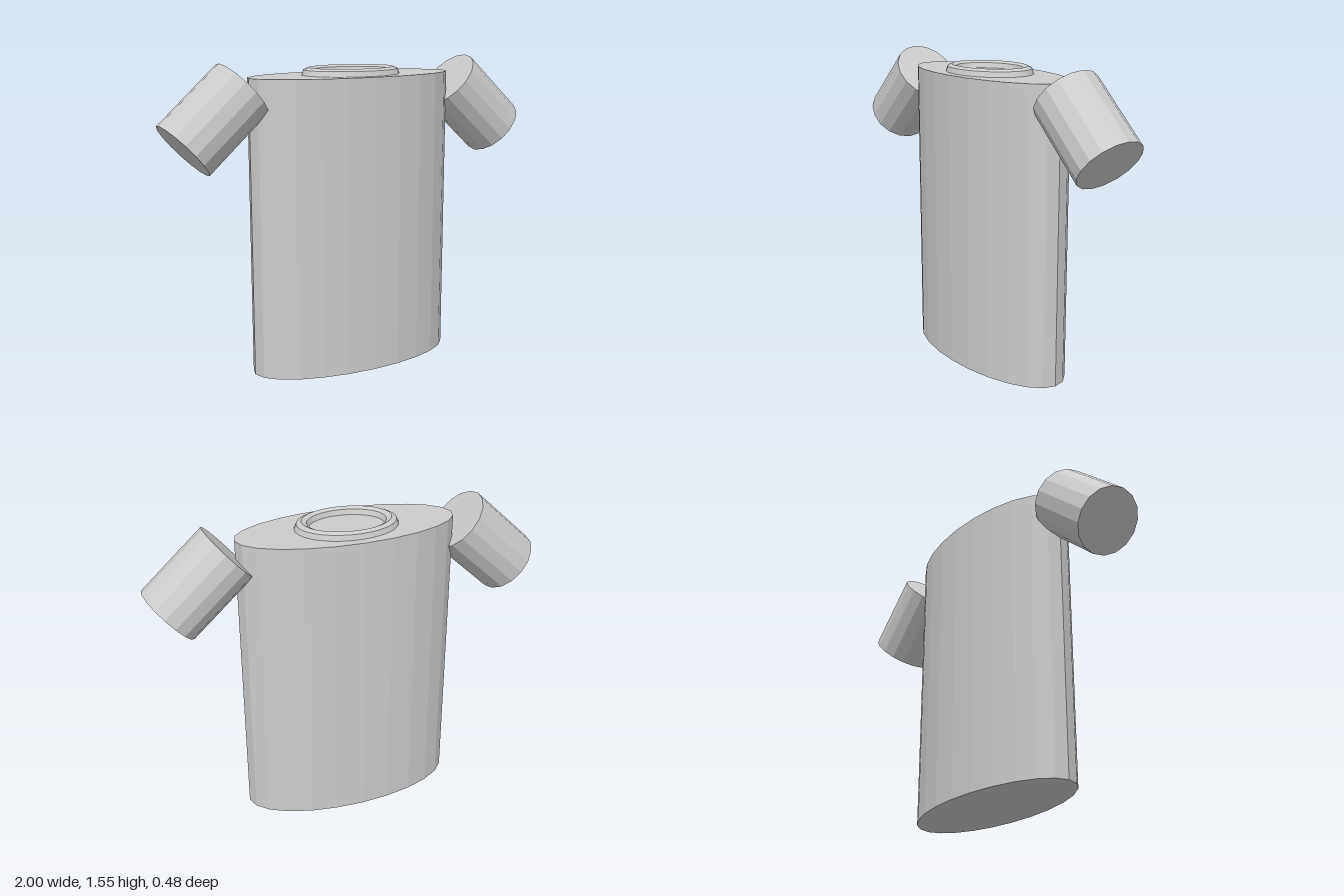
import * as THREE from 'three';

export function createModel() {
  const model = new THREE.Group();
  model.name = 'shirt';
  const cloth = new THREE.MeshStandardMaterial({ color: 0xcccccc, flatShading: true });
  cloth.name = 'grey cloth';

  const add = (name, geometry, x, y) => {
    const mesh = new THREE.Mesh(geometry, cloth);
    mesh.name = name;
    mesh.position.set(x, y, 0);
    model.add(mesh);
    return mesh;
  };

  // Torso: an upright elliptical cylinder
  const height = 1.475;
  add('torso', new THREE.CylinderGeometry(1, 1, height, 24).scale(0.553, 1, 0.24), 0, height / 2);

  // Sleeves: short cylinders sloping down and outward from the shoulders
  for (const side of [1, -1]) {
    const sleeve = add(side > 0 ? 'leftSleeve' : 'rightSleeve',
      new THREE.CylinderGeometry(0.165, 0.165, 0.403, 16), side * 0.738, 1.292);
    sleeve.rotation.z = side * THREE.MathUtils.degToRad(48);
  }

  // Collar: an oval ring half sunk into the top of the torso
  const ring = new THREE.TorusGeometry(0.222, 0.036, 8, 32).rotateX(Math.PI / 2).scale(1, 1, 0.75);
  add('collar', ring, 0, height);

  return model;
}
